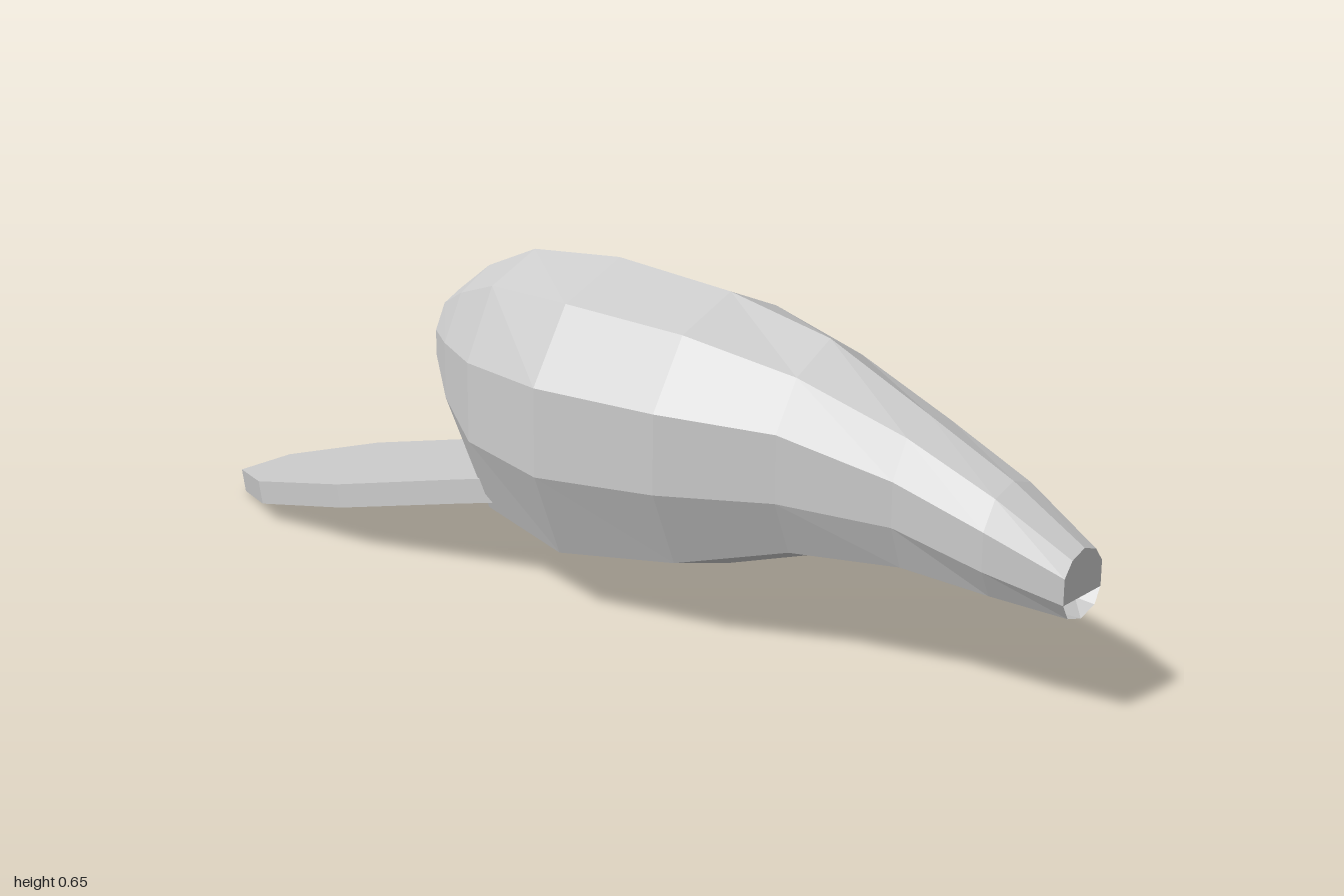
import * as THREE from 'three';

const material = new THREE.MeshStandardMaterial({ color: 0xcccccc, flatShading: true });

// Body stations: x, heights of top, upper, side top, side bottom, low, bottom; half width
const STATIONS = [
  [-0.41, 0.53, 0.51, 0.46, 0.41, 0.365, 0.35, 0.07],
  [-0.33, 0.59, 0.55, 0.46, 0.35, 0.28, 0.26, 0.13],
  [-0.21, 0.64, 0.59, 0.455, 0.3, 0.155, 0.12, 0.195],
  [0, 0.655, 0.595, 0.455, 0.285, 0.12, 0.07, 0.245],
  [0.26, 0.63, 0.577, 0.45, 0.3, 0.155, 0.11, 0.222],
  [0.48, 0.58, 0.53, 0.44, 0.315, 0.213, 0.18, 0.158],
  [0.69, 0.48, 0.455, 0.387, 0.305, 0.225, 0.2, 0.11],
  [0.86, 0.397, 0.38, 0.33, 0.26, 0.21, 0.195, 0.092],
  [1, 0.31, 0.298, 0.272, 0.225, 0.197, 0.185, 0.062],
];

// Ten-sided cross-section, running from the top down the +z side and back up
function ring([x, top, upper, sideTop, sideLow, low, bottom, w]) {
  const half = [[upper, 0.63 * w], [sideTop, w], [sideLow, w], [low, 0.72 * w]];
  return [
    [x, top, 0],
    ...half.map(([y, z]) => [x, y, z]),
    [x, bottom, 0],
    ...half.reverse().map(([y, z]) => [x, y, -z]),
  ];
}

function buildBody() {
  const positions = [];
  const face = (...corners) => {
    for (let i = 1; i < corners.length - 1; i++) {
      positions.push(...corners[0], ...corners[i], ...corners[i + 1]);
    }
  };
  const rings = STATIONS.map(ring);
  const n = rings[0].length;

  // Skin between neighbouring cross-sections
  for (let i = 0; i < rings.length - 1; i++) {
    for (let j = 0; j < n; j++) {
      const k = (j + 1) % n;
      face(rings[i][j], rings[i][k], rings[i + 1][k], rings[i + 1][j]);
    }
  }

  // Pointed rump
  const tip = [-0.44, 0.45, 0];
  for (let j = 0; j < n; j++) face(tip, rings[0][(j + 1) % n], rings[0][j]);

  // Blunt snout with a shallow mouth notch under it
  const e = rings[rings.length - 1];
  const innerL = [0.965, 0.203, 0.04];
  const innerR = [0.965, 0.203, -0.04];
  face(e[0], e[1], e[2], e[3], e[7], e[8], e[9]);
  face(e[3], innerL, innerR, e[7]);
  face(e[3], e[4], innerL);
  face(e[7], innerR, e[6]);
  face(e[5], e[6], innerR, innerL, e[4]);

  const geometry = new THREE.BufferGeometry();
  geometry.setAttribute('position', new THREE.Float32BufferAttribute(positions, 3));
  geometry.computeVertexNormals();
  return geometry;
}

// Flat paddle tail, drawn as a plan outline and tilted upward to the body
function buildTail() {
  const tilt = 0.206;
  const edge = [[-1, 0.07], [-0.83, 0.175], [-0.57, 0.2], [-0.28, 0.158], [-0.2, 0.15]];
  const outline = [...edge, ...edge.map(([x, z]) => [x, -z]).reverse()];
  const shape = new THREE.Shape(
    outline.map(([x, z]) => new THREE.Vector2((x + 1) / Math.cos(tilt), z))
  );
  const geometry = new THREE.ExtrudeGeometry(shape, { depth: 0.048, bevelEnabled: false });
  geometry.rotateX(Math.PI / 2);
  geometry.rotateZ(tilt);
  geometry.translate(-1, 0.05, 0);
  return geometry;
}

export function createModel() {
  const group = new THREE.Group();
  const add = (name, geometry) => {
    const mesh = new THREE.Mesh(geometry, material);
    mesh.name = name;
    group.add(mesh);
  };
  add('body', buildBody());
  add('paddleTail', buildTail());
  return group;
}
